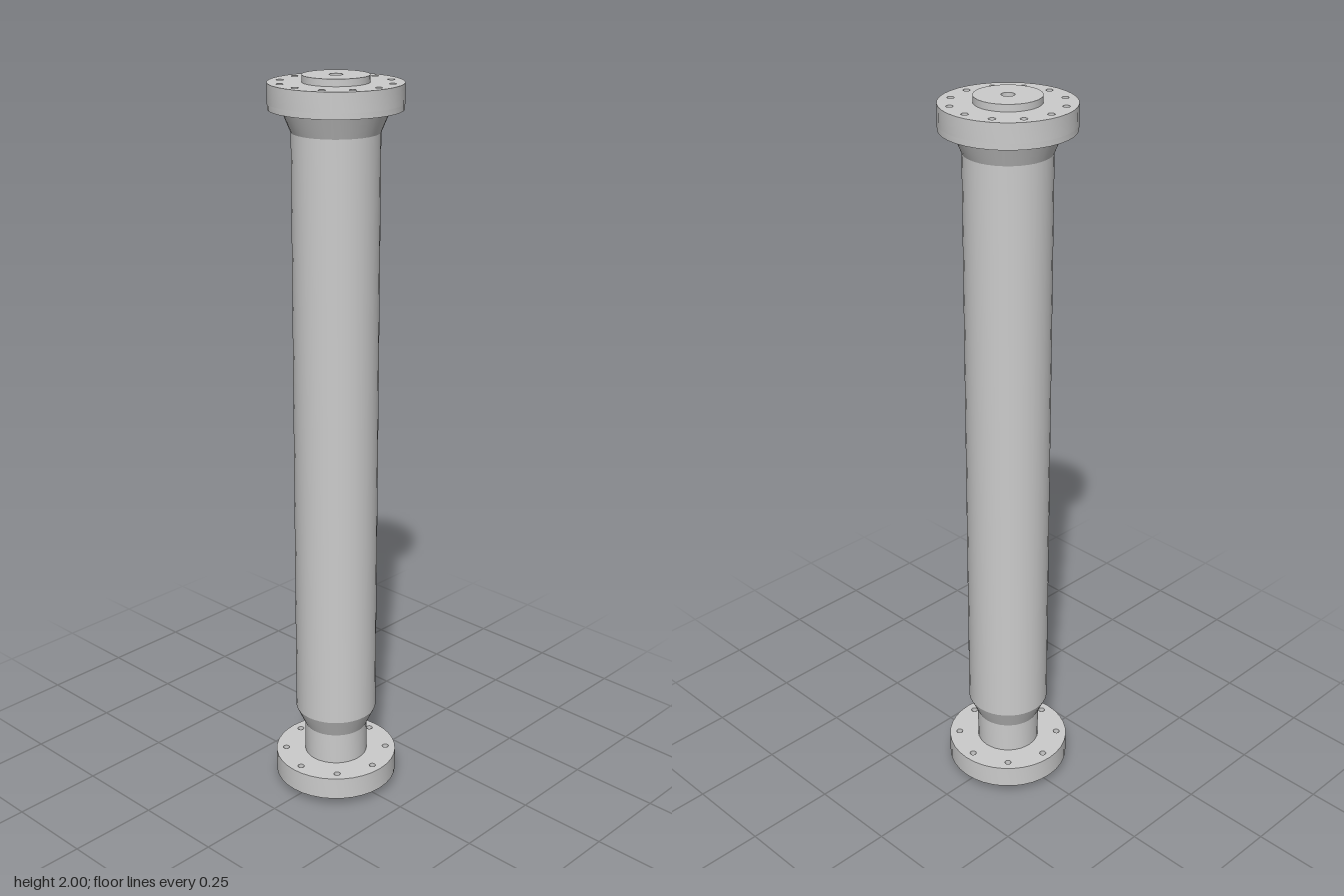
import * as THREE from 'three';
import { toCreasedNormals } from 'three/addons/utils/BufferGeometryUtils.js';

const SEGMENTS = 36;
const BORE = 0.017;
const FACE_RADIUS = 0.085;
const FLANGE_RADIUS = 0.171;
const BOLT_CIRCLE = 0.143;
const BOLT_RADIUS = 0.009;

const material = new THREE.MeshStandardMaterial({ color: 0xcccccc });

function makeMesh(name, geometry) {
  const mesh = new THREE.Mesh(toCreasedNormals(geometry, 0.35), material);
  mesh.name = name;
  return mesh;
}

function circlePoints(radius, segments, cx = 0, cy = 0) {
  return Array.from({ length: segments }, (_, i) => {
    const a = (i / segments) * Math.PI * 2;
    return new THREE.Vector2(cx + radius * Math.cos(a), cy + radius * Math.sin(a));
  });
}

// Ring-shaped plate lying flat, with evenly spaced bolt holes
function flangePlate(name, bottom, top, boltCount) {
  const shape = new THREE.Shape(circlePoints(FLANGE_RADIUS, SEGMENTS));
  shape.holes.push(new THREE.Path(circlePoints(FACE_RADIUS, SEGMENTS)));
  for (let i = 0; i < boltCount; i++) {
    const a = (i / boltCount) * Math.PI * 2;
    shape.holes.push(new THREE.Path(circlePoints(
      BOLT_RADIUS, 20, BOLT_CIRCLE * Math.cos(a), BOLT_CIRCLE * Math.sin(a))));
  }
  const geometry = new THREE.ExtrudeGeometry(shape, { depth: top - bottom, bevelEnabled: false });
  geometry.rotateX(-Math.PI / 2);
  geometry.translate(0, bottom, 0);
  return makeMesh(name, geometry);
}

export function createModel() {
  const model = new THREE.Group();
  model.name = 'flangedSpool';

  // Bored pipe: raised face, neck, taper, barrel, flare, raised face
  const profile = [
    [BORE, 0], [FACE_RADIUS, 0], [FACE_RADIUS, 0.09],
    [0.088, 0.09], [0.088, 0.18], [0.113, 0.235],
    [0.113, 1.86], [0.137, 1.917], [FACE_RADIUS, 1.917],
    [FACE_RADIUS, 2], [BORE, 2], [BORE, 0],
  ].map(([r, y]) => new THREE.Vector2(r, y));
  model.add(makeMesh('pipeBody', new THREE.LatheGeometry(profile, SEGMENTS, Math.PI / 2)));

  // Lower flange, drilled right through
  model.add(flangePlate('lowerFlange', 0.026, 0.09, 8));

  // Upper flange: drilled layer on a solid backing, giving blind holes
  const upper = new THREE.Group();
  upper.name = 'upperFlange';
  upper.add(flangePlate('upperFlangeBacking', 1.917, 1.932, 0));
  upper.add(flangePlate('upperFlangeDrilledLayer', 1.932, 1.982, 12));
  model.add(upper);

  return model;
}
